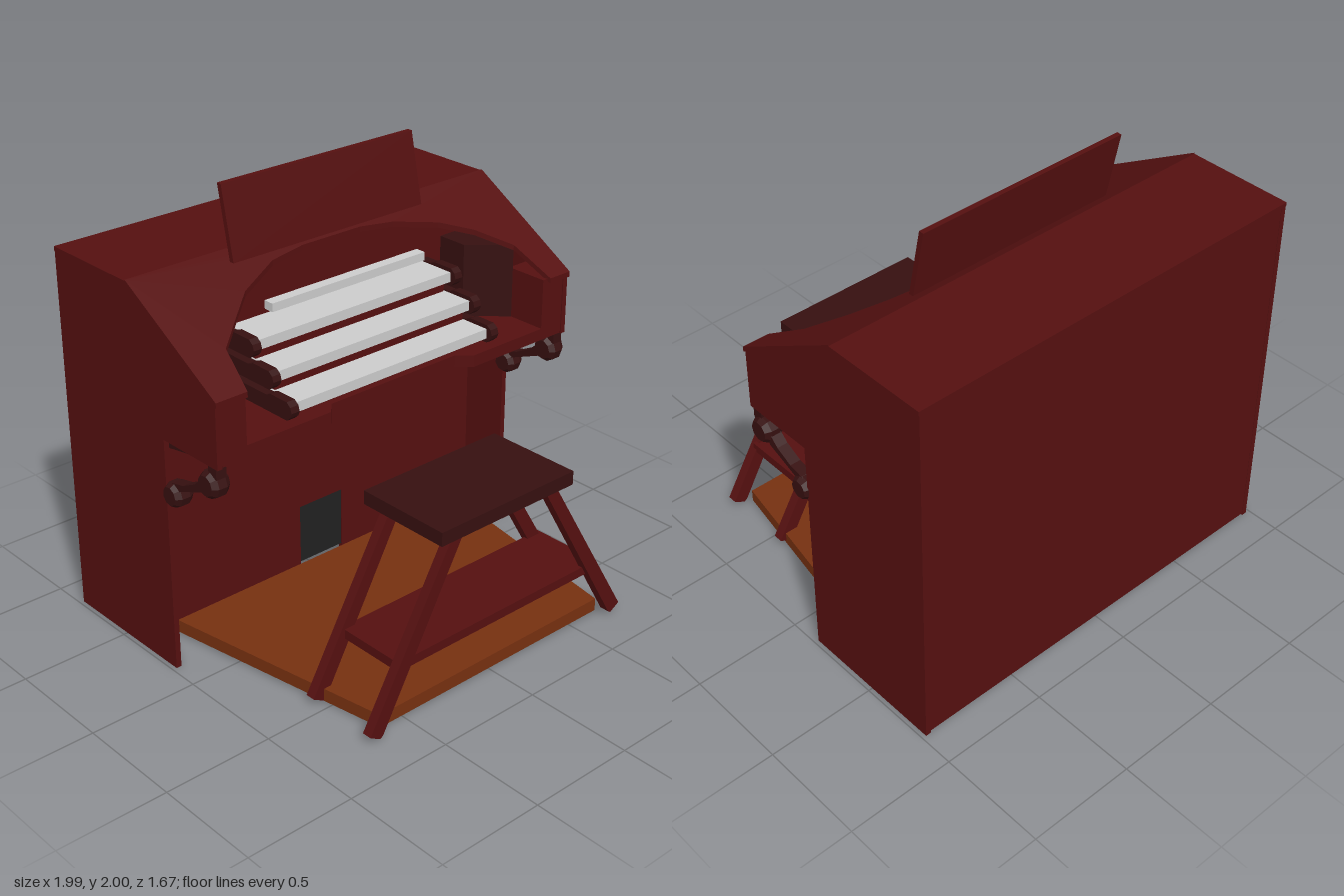
import * as THREE from 'three';

const mat = (c) => new THREE.MeshStandardMaterial({ color: c, side: THREE.DoubleSide, flatShading: true });

export function createModel() {
  const root = new THREE.Group();
  const wood = mat(0x551010), dark = mat(0x361010), oak = mat(0x763010);
  const ivory = mat(0xcccccc), black = mat(0x202020);

  const add = (name, geo, m, parent = root) => {
    const mesh = new THREE.Mesh(geo, m);
    mesh.name = name;
    parent.add(mesh);
    return mesh;
  };
  // box given by its limits on each axis
  const box = (name, m, x0, x1, y0, y1, z0, z1) => {
    const g = new THREE.BoxGeometry(x1 - x0, y1 - y0, z1 - z0);
    g.translate((x0 + x1) / 2, (y0 + y1) / 2, (z0 + z1) / 2);
    return add(name, g, m);
  };
  const shape = (pts) => new THREE.Shape(pts.map((p) => new THREE.Vector2(...p)));
  const extrude = (pts, depth) => new THREE.ExtrudeGeometry(shape(pts), { depth, bevelEnabled: false });
  // (z, y) outline extruded across x, centred on x
  const across = (pts, w, x) => extrude(pts, w).rotateY(-Math.PI / 2).translate(x + w / 2, 0, 0);
  // (x, z) outline extruded downward from y
  const slab = (pts, h, y) => extrude(pts, h).rotateX(Math.PI / 2).translate(0, y, 0);

  // case: side panels, back, top and recessed front, open underneath
  const side = [[-0.84, 0], [-0.14, 0], [-0.14, 1.09], [0.21, 1.09], [0.21, 1.38], [-0.33, 1.7], [-0.84, 1.7]];
  for (const s of [-1, 1]) add('sidePanel', across(side, 0.025, s * 0.968), wood);
  box('backPanel', wood, -0.96, 0.96, 0.01, 1.7, -0.838, -0.815);
  box('topPanel', wood, -0.983, 0.983, 1.69, 1.71, -0.84, -0.335);
  // lower front with an opening for the swell pedal
  box('frontPanel', wood, -0.96, -0.1, 0, 1.09, -0.39, -0.37);
  box('frontPanel', wood, 0.15, 0.96, 0, 1.09, -0.39, -0.37);
  box('frontPanel', wood, -0.1, 0.15, 0.35, 1.09, -0.39, -0.37);
  box('swellPedal', black, -0.1, 0.15, 0.06, 0.35, -0.61, -0.375);

  // sloping hood with arched opening, sheared to the roof pitch
  const hood = [[-0.983, 0.22], [-0.983, -0.34], [0.983, -0.34], [0.983, 0.22], [0.86, 0.22], [0.82, 0.03],
    [0.69, -0.09], [0.55, -0.17], [0.34, -0.235], [0.17, -0.258], [-0.15, -0.258], [-0.33, -0.235],
    [-0.54, -0.15], [-0.66, -0.06], [-0.79, 0.04], [-0.83, 0.22]];
  const hoodGeo = slab(hood, 0.025, 0);
  const p = hoodGeo.attributes.position;
  for (let i = 0; i < p.count; i++) p.setY(i, p.getY(i) + 1.385 + (0.22 - p.getZ(i)) * 0.59);
  hoodGeo.computeVertexNormals();
  add('hood', hoodGeo, wood);

  // key desk with a shallow front notch
  add('keyDesk', slab([[-0.95, -0.38], [0.95, -0.38], [0.95, 0.205], [0.41, 0.205], [0.35, 0.15],
    [-0.35, 0.15], [-0.4, 0.205], [-0.95, 0.205]], 0.055, 1.148), wood);
  add('deskUnderside', across([[-0.37, 1.04], [-0.14, 1.045], [0.13, 1.093], [-0.37, 1.093]], 1.91, 0), dark);
  box('nicheBack', wood, -0.95, 0.95, 1.1, 1.67, -0.3, -0.28);
  for (const s of [-1, 1]) {
    box('endBlock', wood, s > 0 ? 0.83 : -0.97, s > 0 ? 0.97 : -0.83, 1.1, 1.38, 0.0, 0.205);
    // angled stop jamb
    add('stopJamb', slab([[s * 0.83, 0.02], [s * 0.67, -0.13], [s * 0.67, -0.28], [s * 0.83, -0.28]], 0.38, 1.49), dark);
  }

  // stepped keyboards with rounded cheeks
  [[1.17, 0.15], [1.268, 0.04], [1.365, -0.08]].forEach(([y, z]) => {
    box('keyboard', ivory, -0.54, 0.54, y, y + 0.045, -0.275, z);
    box('keyboardBase', wood, -0.53, 0.53, y - 0.05, y, -0.275, z - 0.03);
    for (const s of [-1, 1]) {
      const cheek = [[-0.275, y - 0.02], [z, y - 0.02], [z + 0.022, y], [z + 0.03, y + 0.02],
        [z + 0.022, y + 0.045], [z, y + 0.062], [z - 0.1, y + 0.062], [z - 0.13, y + 0.05], [-0.275, y + 0.05]];
      add('keyCheek', across(cheek, 0.042, s * 0.563), dark);
    }
  });
  box('tabRail', ivory, -0.42, 0.43, 1.482, 1.52, -0.18, -0.13);

  // music desk leaning back
  add('musicDesk', across([[-0.26, 1.68], [-0.284, 1.68], [-0.35, 2.0], [-0.326, 2.0]], 1.04, 0.01), wood);

  // turned brackets below the key desk
  const ball = [[0, -0.045], [0.045, -0.045], [0.062, -0.02], [0.062, 0.02], [0.045, 0.045], [0, 0.045]]
    .map((q) => new THREE.Vector2(...q));
  for (const s of [-1, 1]) {
    const bracket = new THREE.Group();
    bracket.name = 'bracket';
    for (const [z, y, k] of [[0.145, 1.003, 1], [-0.1, 0.855, 0.92]])
      add('bracketKnob', new THREE.LatheGeometry(ball, 9).rotateZ(Math.PI / 2).scale(1, k, k).translate(0, y, z), dark, bracket);
    add('bracketArm', across([[0.13, 1.04], [0.1, 0.95], [-0.05, 0.89], [-0.13, 0.84], [-0.14, 0.88],
      [-0.1, 0.91], [-0.03, 0.925], [0.05, 0.965]], 0.05, 0), dark, bracket);
    add('bracketCap', new THREE.BoxGeometry(0.05, 0.06, 0.05).translate(0, 1.07, 0.17), dark, bracket);
    bracket.position.x = s * 0.952;
    root.add(bracket);
  }

  // tapered pedal platform
  add('pedalBoard', slab([[-0.815, -0.35], [0.855, -0.35], [0.665, 0.75], [-0.625, 0.75]], 0.06, 0.067), oak);

  // bench with splayed legs and a foot plate
  box('benchSeat', dark, -0.38, 0.37, 0.79, 0.853, 0.38, 0.835);
  for (const z of [0.418, 0.765])
    for (const s of [-1, 1]) {
      const leg = [[0.235, 0.79], [0.3, 0.79], [0.742, 0.04], [0.69, 0.01], [0.675, 0.02]]
        .map(([x, y]) => [s * x + 0.015 * (0.79 - y), y]);
      add('benchLeg', extrude(leg, 0.045).translate(0, 0, z), wood);
    }
  box('footPlate', wood, -0.56, 0.61, 0.262, 0.305, 0.44, 0.785);

  return root;
}
